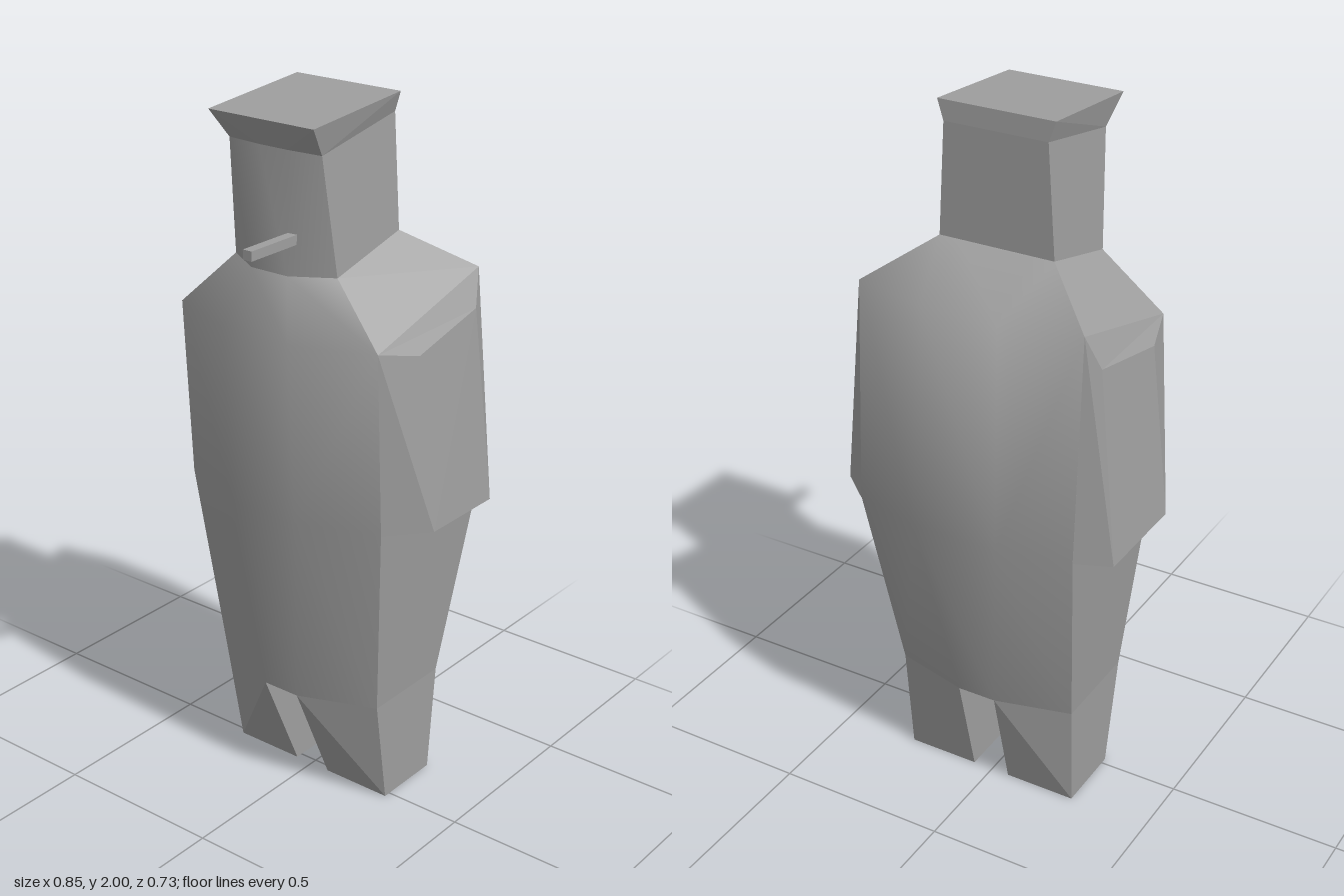
import * as THREE from 'three';
import { toCreasedNormals } from 'three/addons/utils/BufferGeometryUtils.js';

const V = (x, y, z) => new THREE.Vector3(x, y, z);

// Skin a stack of closed rings, bottom to top; each quad folds along its outward diagonal.
// "keep" chooses the columns to skin, "caps" closes both ends.
function loft(rings, { mirror = false, keep = () => true, caps = true } = {}) {
  const out = [];
  const tri = (a, b, c) => {
    for (const p of mirror ? [a, c, b] : [a, b, c]) out.push(mirror ? -p.x : p.x, p.y, p.z);
  };
  const n = rings[0].length;
  for (let r = 0; r < rings.length - 1; r++) {
    for (let i = 0; i < n; i++) {
      if (!keep(i)) continue;
      const j = (i + 1) % n;
      const a = rings[r][i], b = rings[r][j], c = rings[r + 1][j], d = rings[r + 1][i];
      const normal = b.clone().sub(a).cross(d.clone().sub(a));
      if (c.clone().sub(a).dot(normal) > 0) { tri(a, b, c); tri(a, c, d); }
      else { tri(a, b, d); tri(b, c, d); }
    }
  }
  const low = rings[0], top = rings[rings.length - 1];
  for (let i = 1; caps && i < n - 1; i++) {
    tri(low[0], low[i + 1], low[i]);
    tri(top[0], top[i], top[i + 1]);
  }
  const g = new THREE.BufferGeometry();
  g.setAttribute('position', new THREE.Float32BufferAttribute(out, 3));
  g.computeVertexNormals();
  return g;
}

// Symmetrical eight-sided ring: front/back heights, side/centre half widths,
// then depths of front centre, front corner, back corner, back centre.
function ring(yf, yb, xs, xc, zfc, zfs, zbs, zbc, xcBack = xc) {
  const half = [V(xc, yf, zfc), V(xs, yf, zfs), V(xs, yb, zbs), V(xcBack, yb, zbc)];
  return [...half, ...half.map(p => V(-p.x, p.y, p.z)).reverse()];
}

export function createModel() {
  const model = new THREE.Group();
  model.name = 'figure';
  const color = 0x9e9e9e;
  const smooth = new THREE.MeshStandardMaterial({ color });
  const flat = new THREE.MeshStandardMaterial({ color, flatShading: true });
  const add = (name, geometry, material = flat, x = 0) => {
    const mesh = new THREE.Mesh(geometry, material);
    mesh.name = name;
    mesh.position.x = x;
    model.add(mesh);
    return mesh;
  };
  const shift = 0.003, headShift = 0.008;

  // Torso: rounded front and back panels between flat sides
  const neck = ring(1.57, 1.635, 0.169, 0.06, 0.2, 0.133, -0.125, -0.125, 0.11);
  const torso = [
    ring(0.32, 0.32, 0.275, 0.057, 0.16, 0.075, -0.205, -0.26),
    ring(0.9, 0.9, 0.328, 0.11, 0.23, 0.14, -0.31, -0.363, 0.127),
    ring(1.41, 1.53, 0.33, 0.11, 0.256, 0.167, -0.27, -0.32),
    neck.map(p => V(p.x + headShift - shift, p.y, p.z)),
  ];
  const isSide = i => i % 4 === 1;
  add('torsoPanels', toCreasedNormals(loft(torso, { keep: i => !isSide(i), caps: false }), 1.1), smooth, shift);
  add('torsoSides', loft(torso, { keep: isSide }), flat, shift);

  // Head with softly protruding muzzle
  const brow = ring(1.89, 1.945, 0.15, 0.045, 0.18, 0.172, -0.125, -0.125);
  add('head', toCreasedNormals(loft([neck, brow]), 0.7), smooth, headShift);

  // Flared flat cap
  add('cap', loft([
    brow,
    ring(1.97, 2.0, 0.169, 0.045, 0.229, 0.229, -0.122, -0.122),
  ]), flat, headShift);

  // Stick held in the mouth
  const stick = add('mouthStick', new THREE.BoxGeometry(0.028, 0.026, 0.195));
  stick.position.set(0.079, 1.669, 0.268);

  for (const side of [1, -1]) {
    const mirror = side < 0;
    const label = mirror ? 'right' : 'left';

    // Legs
    add(label + 'Leg', loft([
      [V(0.057, 0, 0.02), V(0.268, 0, 0.02), V(0.268, 0, -0.185), V(0.057, 0, -0.185)],
      [V(0.057, 0.32, 0.16), V(0.275, 0.32, 0.075), V(0.275, 0.32, -0.205), V(0.057, 0.32, -0.26)],
    ], { mirror }), flat, shift);

    // Arms hanging against the torso, the right one a little deeper
    const back = mirror ? -0.04 : 0;
    const s = side * shift;
    add(label + 'Arm', loft([
      [V(0.328 + s, 0.895, 0.14), V(0.423, 0.895, 0.03), V(0.423, 0.895, -0.23 + back), V(0.328 + s, 0.895, -0.31)],
      [V(0.33 + s, 1.41, 0.167), V(0.368 + s, 1.38, 0.04),
        V(0.368 + s, 1.44, -0.207 + back), V(0.33 + s, 1.53, -0.27)],
    ], { mirror }));
  }
  return model;
}
